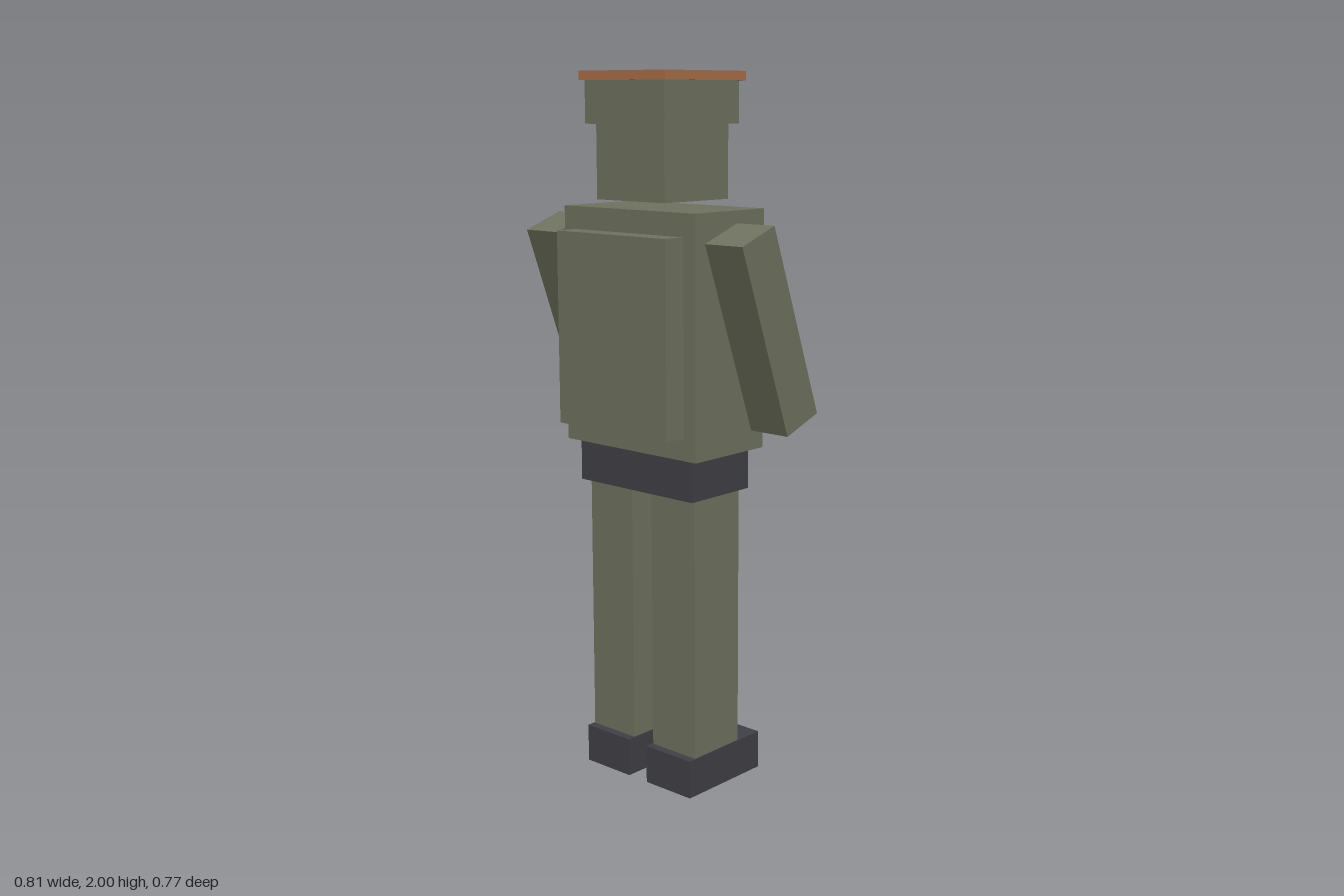
import * as THREE from 'three';

export function createModel() {
  const root = new THREE.Group();
  root.name = 'blockSoldier';

  const material = (name, color) => {
    const m = new THREE.MeshStandardMaterial({ color });
    m.name = name;
    return m;
  };
  const green = material('olive green', 0x6f725f);
  const orange = material('copper orange', 0xa96f49);
  const dark = material('charcoal', 0x414046);
  const grey = material('steel grey', 0x8a9096);

  // Box given by its extents: [min, max] on each axis
  const box = (name, mat, [x0, x1], [y0, y1], [z0, z1]) => {
    const mesh = new THREE.Mesh(new THREE.BoxGeometry(x1 - x0, y1 - y0, z1 - z0), mat);
    mesh.position.set((x0 + x1) / 2, (y0 + y1) / 2, (z0 + z1) / 2);
    mesh.name = name;
    root.add(mesh);
    return mesh;
  };
  const wide = (half) => [-half, half];

  // Head, helmet band, cap and visor
  box('head', green, wide(0.126), [1.657, 1.86], [0.052, 0.307]);
  box('helmetBand', green, wide(0.147), [1.86, 1.975], [0.032, 0.328]);
  box('capTop', orange, wide(0.159), [1.975, 2.0], [0.018, 0.338]);
  box('visor', orange, wide(0.11), [1.787, 1.842], [0.043, 0.053]);

  // Torso with chest plate, pack and belt
  box('torso', green, wide(0.245), [0.975, 1.636], [0.041, 0.317]);
  box('chestPlate', orange, wide(0.191), [1.095, 1.56], [-0.008, 0.041]);
  box('backpack', green, wide(0.203), [1.037, 1.573], [0.317, 0.387]);
  box('belt', dark, wide(0.213), [0.857, 0.975], [0.064, 0.297]);

  // Weapon held in front
  box('gunBody', dark, wide(0.036), [1.086, 1.181], [-0.323, 0]);
  box('gunBarrel', grey, wide(0.016), [1.162, 1.191], [-0.388, -0.26]);

  // Paired limbs
  for (const [side, s] of [['left', 1], ['right', -1]]) {
    const span = (a, b) => (s > 0 ? [a, b] : [-b, -a]);
    box(side + 'Leg', green, span(0.038, 0.2), [0.11, 0.857], [0.089, 0.272]);
    box(side + 'Boot', dark, span(0.035, 0.203), [0, 0.11], [0, 0.297]);
    // Arms swing forward at the hand
    const arm = box(side + 'Arm', green, span(0.277, 0.404), [1.0465, 1.5995], [0.0905, 0.2255]);
    arm.rotation.x = THREE.MathUtils.degToRad(20);
  }

  return root;
}
